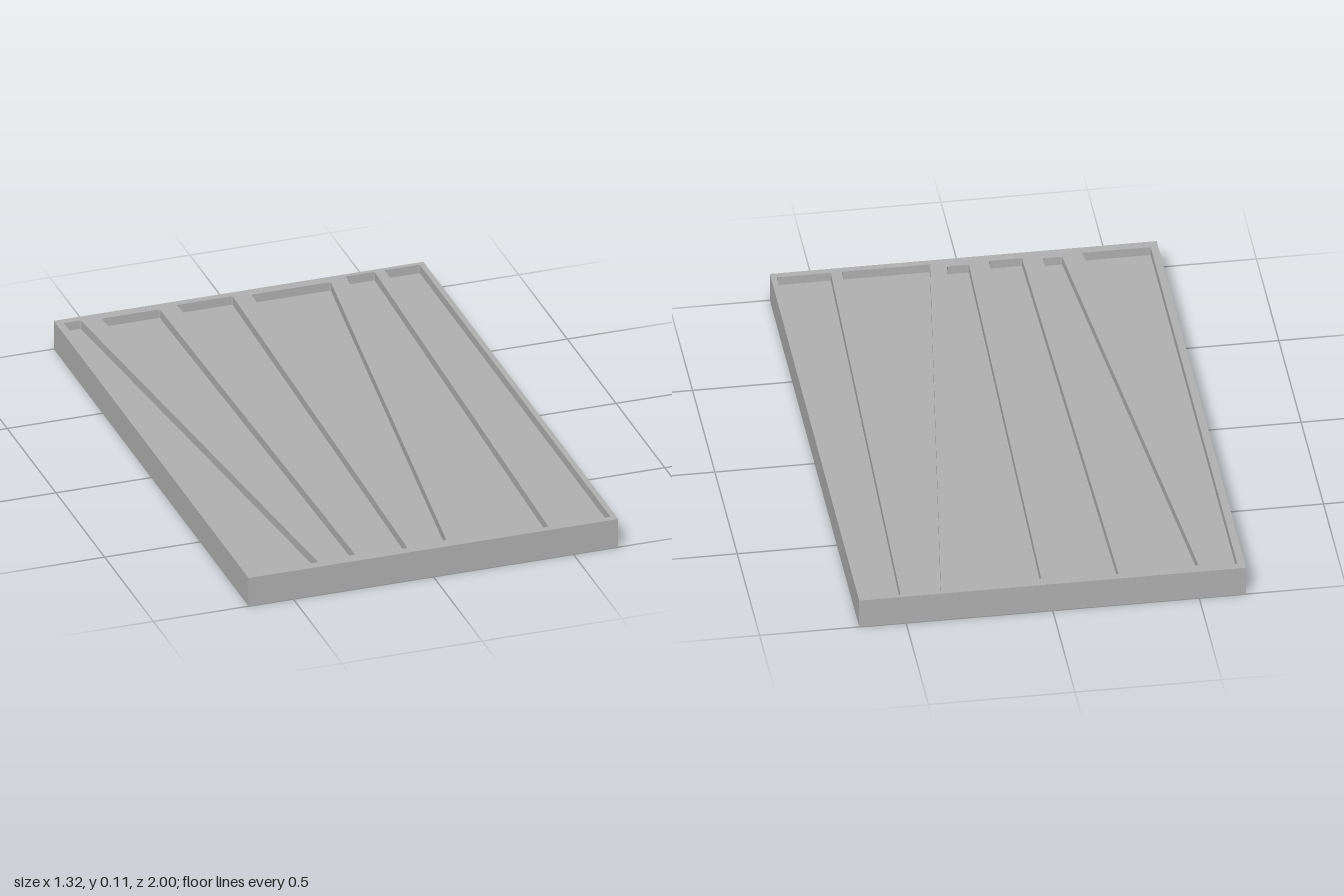
import * as THREE from 'three';

const W = 1.32, L = 2, H = 0.107, FLOOR = 0.075;

// Pockets: back z, back left x, back right x, front z, front left x, front right x
const POCKETS = [
  [-0.973, -0.634, -0.573, 0.967, -0.634, -0.4],
  [-0.962, -0.504, -0.295, 0.955, -0.33, -0.264],
  [-0.973, -0.229, -0.031, 0.967, -0.195, -0.081],
  [-0.962, 0.033, 0.316, 0.955, -0.012, 0.062],
  [-0.984, 0.379, 0.48, 0.976, 0.117, 0.419],
  [-0.984, 0.517, 0.641, 0.976, 0.456, 0.641],
];

// Closed polygon path with slightly rounded corners
function roundedPath(points, r) {
  const path = new THREE.Path();
  points.forEach((p, i) => {
    const prev = points[(i + points.length - 1) % points.length];
    const next = points[(i + 1) % points.length];
    const a = p.clone().add(prev.clone().sub(p).setLength(r));
    const b = p.clone().add(next.clone().sub(p).setLength(r));
    if (i === 0) path.moveTo(a.x, a.y);
    else path.lineTo(a.x, a.y);
    path.quadraticCurveTo(p.x, p.y, b.x, b.y);
  });
  path.closePath();
  return path;
}

export function createModel() {
  const model = new THREE.Group();
  model.name = 'pocketedTray';
  const grey = new THREE.MeshStandardMaterial({ color: 0xb0b0b0 });
  grey.name = 'plain grey';

  // Solid base, whose top forms the pocket floors
  const base = new THREE.Mesh(new THREE.BoxGeometry(W, FLOOR, L), grey);
  base.name = 'base';
  base.position.y = FLOOR / 2;
  model.add(base);

  // Upper layer with the tapered pockets cut through (shape y is -z)
  const outline = new THREE.Shape([
    new THREE.Vector2(-W / 2, -L / 2), new THREE.Vector2(W / 2, -L / 2),
    new THREE.Vector2(W / 2, L / 2), new THREE.Vector2(-W / 2, L / 2),
  ]);
  for (const [zb, bl, br, zf, fl, fr] of POCKETS) {
    outline.holes.push(roundedPath([
      new THREE.Vector2(bl, -zb), new THREE.Vector2(br, -zb),
      new THREE.Vector2(fr, -zf), new THREE.Vector2(fl, -zf),
    ], 0.006));
  }
  const frameGeometry = new THREE.ExtrudeGeometry(outline, {
    depth: H - FLOOR, bevelEnabled: false, curveSegments: 3,
  });
  frameGeometry.rotateX(-Math.PI / 2);
  const frame = new THREE.Mesh(frameGeometry, grey);
  frame.name = 'pocketFrame';
  frame.position.y = FLOOR;
  model.add(frame);

  return model;
}
